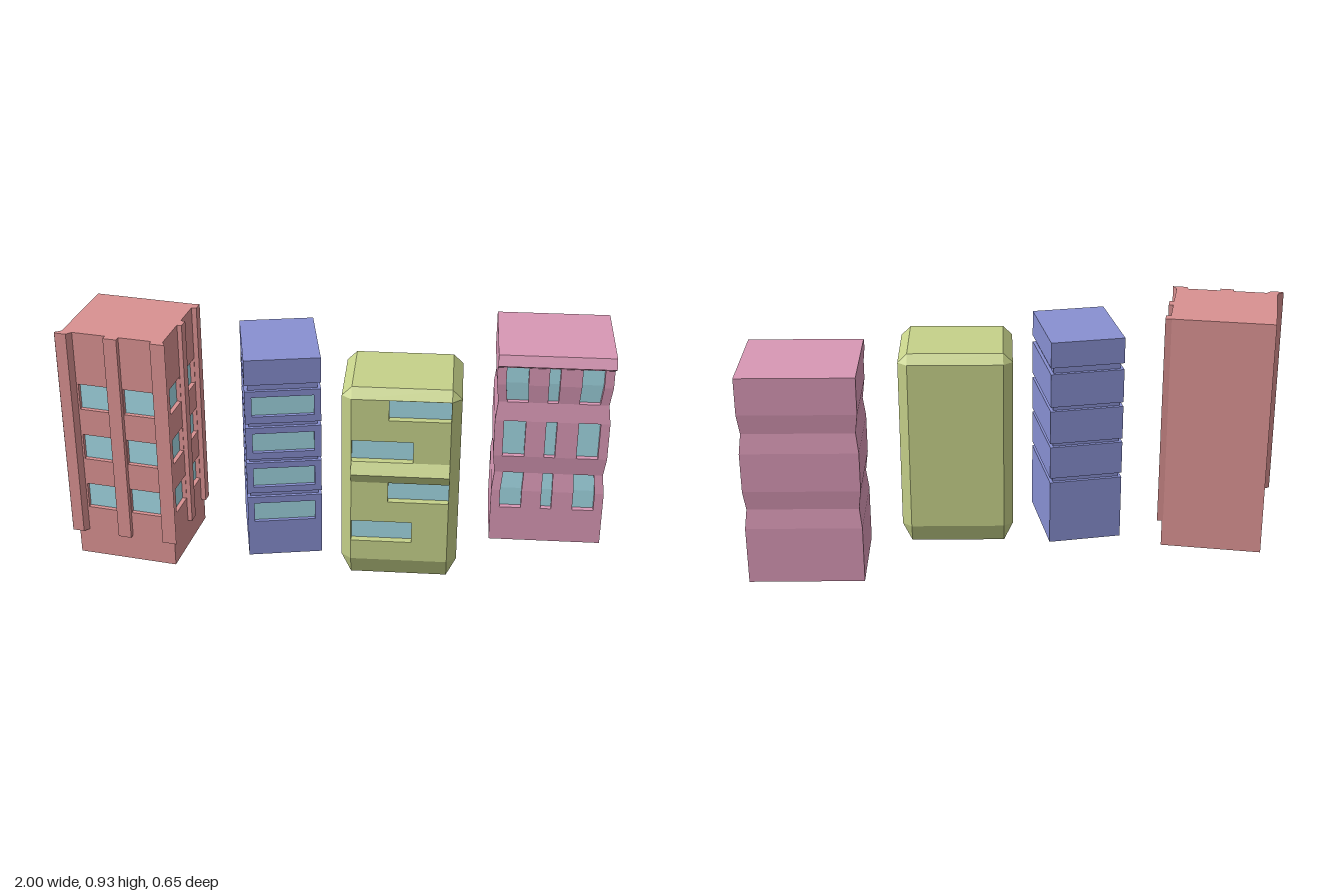
import * as THREE from 'three';
import { mergeGeometries } from 'three/addons/utils/BufferGeometryUtils.js';

const mat = (color) => new THREE.MeshStandardMaterial({ color, flatShading: true });
const RED = mat(0xd99191), BLUE = mat(0x8890d2), GREEN = mat(0xc6d28a), PINK = mat(0xd898b5), GLASS = mat(0xa2d8e4);

function add(parent, name, geometry, material) {
  const mesh = new THREE.Mesh(geometry, material);
  mesh.name = name;
  parent.add(mesh);
  return mesh;
}

function building(root, name, x, z, degrees = 0) {
  const g = new THREE.Group();
  g.name = name;
  g.position.set(x, 0, z);
  g.rotation.y = THREE.MathUtils.degToRad(degrees);
  root.add(g);
  return g;
}

// Box given by its limits on each axis
function slab(x0, x1, y0, y1, z0, z1) {
  return new THREE.BoxGeometry(x1 - x0, y1 - y0, z1 - z0)
    .translate((x0 + x1) / 2, (y0 + y1) / 2, (z0 + z1) / 2);
}

// Vertical prism from a plan outline of [x, z] points
function prism(points, y0, y1) {
  const shape = new THREE.Shape(points.map(([x, z]) => new THREE.Vector2(x, -z)));
  return new THREE.ExtrudeGeometry(shape, { depth: y1 - y0, bevelEnabled: false })
    .rotateX(-Math.PI / 2).translate(0, y0, 0);
}

// Wall with window openings [x0, x1, y0, y1] and recessed glass; back at z = 0
function facade(parent, name, x0, x1, y0, y1, openings, depth, material) {
  const g = new THREE.Group();
  g.name = name;
  parent.add(g);
  const rect = (C, a, b, c, d) => new C([[a, c], [b, c], [b, d], [a, d]].map((p) => new THREE.Vector2(...p)));
  const shape = rect(THREE.Shape, x0, x1, y0, y1);
  for (const [a, b, c, d] of openings) {
    shape.holes.push(rect(THREE.Path, a, b, c, d));
    add(g, 'windowGlass', slab(a, b, c, d, -0.004, 0.004), GLASS);
  }
  add(g, 'wall', new THREE.ExtrudeGeometry(shape, { depth, bevelEnabled: false }), material);
  return g;
}

// Red block with tall pilasters on two sides
function pilasterBuilding(root) {
  const g = building(root, 'pilasterBuilding', -0.76, 0.075, -10);
  const top = 0.927, low = 0.105;
  add(g, 'core', slab(-0.19, 0.17, 0, top, -0.17, 0.15), RED);
  const rows = [0.205, 0.413, 0.62];
  const grid = (cols) => rows.flatMap((y) => cols.map(([a, b]) => [a, b, y, y + 0.102]));
  facade(g, 'frontWall', -0.19, 0.19, 0, top, grid([[-0.143, -0.027], [0.027, 0.143]]), 0.02, RED)
    .position.z = 0.15;
  const side = facade(g, 'sideWall', -0.15, 0.17, 0, top, grid([[-0.13, -0.022], [0.022, 0.133]]), 0.02, RED);
  side.rotation.y = Math.PI / 2;
  side.position.x = 0.17;
  const pilasters = [
    [[-0.19, 0.165], [-0.212, 0.183], [-0.208, 0.19], [-0.165, 0.19], [-0.146, 0.165]],
    [[-0.025, 0.165], [-0.025, 0.19], [0.025, 0.19], [0.025, 0.165]],
    [[0.146, 0.165], [0.15, 0.19], [0.205, 0.19], [0.19, 0.165]],
    [[0.185, -0.02], [0.207, -0.02], [0.207, 0.02], [0.185, 0.02]],
    [[0.185, -0.17], [0.208, -0.174], [0.208, -0.137], [0.185, -0.135]],
  ];
  for (const p of pilasters) add(g, 'pilaster', prism(p, low, top), RED);
}

// Blue block of stacked storeys with grooves between
function bandedBuilding(root) {
  const g = building(root, 'bandedBuilding', -0.2175, 0.07, 10);
  const w = 0.137, d = 0.17, inset = 0.012;
  add(g, 'grooveCore', slab(-w + inset, w - inset, 0.06, 0.85, -d + inset, d - 0.02), BLUE);
  add(g, 'grooveFront', slab(-w + inset, w - inset, 0.29, 0.77, d - 0.021, d - inset), BLUE).visible = false;
  const storeys = [[0.05, 0.3, 0.195], [0.318, 0.445, 0.343], [0.46, 0.59, 0.487], [0.607, 0.737, 0.635], [0.762, 0.86]];
  storeys.forEach(([y0, y1, win], i) => {
    add(g, 'storey', slab(-w, w, y0, y1, -d, d - 0.018), BLUE);
    const openings = win ? [[-0.112, 0.112, win, win + 0.078]] : [];
    facade(g, 'storeyFront', -w, w, y0, y1, openings, 0.018, BLUE).position.z = d - 0.018;
    if (i) {
      const below = storeys[i - 1][1];
      add(g, 'groove', slab(-w + inset, w - inset, below, y0, -d + inset, d - inset), BLUE);
    }
  });
  g.remove(g.getObjectByName('grooveFront'));
}

// Green block with chamfered edges and a pointed ledge
function chamferedBuilding(root) {
  const g = building(root, 'chamferedBuilding', 0.2375, 0.1275);
  const w = 0.2125, d = 0.1725, iw = 0.177, id = 0.1425;
  const ring = (y, ox, oz) => [
    [iw, oz], [ox, id], [ox, -id], [iw, -oz], [-iw, -oz], [-ox, -id], [-ox, id], [-iw, oz],
  ].map(([x, z]) => [x, y, z]);
  const rings = [ring(0.005, iw, id), ring(0.08, w, d), ring(0.745, w, d), ring(0.78, iw, id)];
  const pos = [];
  const quad = (a, b, c, e) => pos.push(...a, ...b, ...c, ...a, ...c, ...e);
  for (let r = 0; r < 3; r++) {
    for (let i = 0; i < 8; i++) {
      if (r === 1 && i === 7) continue; // the facade fills this face
      const j = (i + 1) % 8;
      quad(rings[r][i], rings[r][j], rings[r + 1][j], rings[r + 1][i]);
    }
  }
  const [b, t] = [rings[0], rings[3]];
  quad(b[7], b[4], b[3], b[0]);
  quad(t[7], t[0], t[3], t[4]);
  const shell = new THREE.BufferGeometry();
  shell.setAttribute('position', new THREE.Float32BufferAttribute(pos, 3));
  shell.computeVertexNormals();
  add(g, 'shell', shell, GREEN);
  const left = [-iw + 0.001, 0.045], right = [-0.043, iw - 0.001];
  facade(g, 'frontWall', -iw, iw, 0.08, 0.745, [
    [...right, 0.665, 0.744], [...left, 0.495, 0.58], [...right, 0.33, 0.41], [...left, 0.16, 0.245],
  ], 0.03, GREEN).position.z = d - 0.03;
  // Ledge profile in (z, y), swept across the front
  const ledge = new THREE.Shape([[d - 0.005, 0.41], [d, 0.41], [d + 0.026, 0.453], [d, 0.495], [d - 0.005, 0.495]]
    .map((p) => new THREE.Vector2(-p[0], p[1])));
  add(g, 'ledge', new THREE.ExtrudeGeometry(ledge, { depth: 2 * iw, bevelEnabled: false })
    .rotateY(Math.PI / 2).translate(-iw, 0, 0), GREEN);
}

// Pink block with pinched walls and a cornice
function pinchedBuilding(root) {
  const g = building(root, 'pinchedBuilding', 0.7875, -0.16);
  const w = 0.2125, d = 0.168, back = d - 0.025;
  const warp = (geo) => {
    const p = geo.attributes.position;
    for (let i = 0; i < p.count; i++) {
      const y = p.getY(i);
      const k = 0.009 * Math.max(0, 1 - Math.abs(y - 0.3) / 0.075, 1 - Math.abs(y - 0.6) / 0.075);
      p.setX(i, p.getX(i) * (1 - k / w));
      p.setZ(i, p.getZ(i) * (1 - k / d));
    }
    geo.computeVertexNormals();
    return geo;
  };
  const xs = [-w, -0.178, -0.097, -0.022, 0.018, 0.098, 0.178, w];
  const ys = [0.005, 0.15, 0.225, 0.3, 0.375, 0.525, 0.6, 0.675, 0.745, 0.815];
  const windowRows = [1, 2, 4, 6, 7];
  const wall = [], glass = [];
  for (let j = 0; j < ys.length - 1; j++) {
    wall.push(slab(-w, w, ys[j], ys[j + 1], -d, back));
    for (let i = 0; i < xs.length - 1; i++) {
      const open = i % 2 === 1 && windowRows.includes(j);
      (open ? glass : wall).push(slab(xs[i], xs[i + 1], ys[j], ys[j + 1], back, open ? back + 0.004 : d));
    }
  }
  add(g, 'walls', warp(mergeGeometries(wall)), PINK);
  add(g, 'windowGlass', warp(mergeGeometries(glass)), GLASS);
  // Cornice profile in (z, y), swept across the front
  const profile = new THREE.Shape([[d - 0.01, 0.745], [d, 0.745], [0.225, 0.777], [0.208, 0.815], [d - 0.01, 0.815]]
    .map((p) => new THREE.Vector2(-p[0], p[1])));
  add(g, 'cornice', new THREE.ExtrudeGeometry(profile, { depth: 2 * w, bevelEnabled: false })
    .rotateY(Math.PI / 2).translate(-w, 0, 0), PINK);
}

export function createModel() {
  const root = new THREE.Group();
  root.name = 'buildings';
  pilasterBuilding(root);
  bandedBuilding(root);
  chamferedBuilding(root);
  pinchedBuilding(root);
  return root;
}
